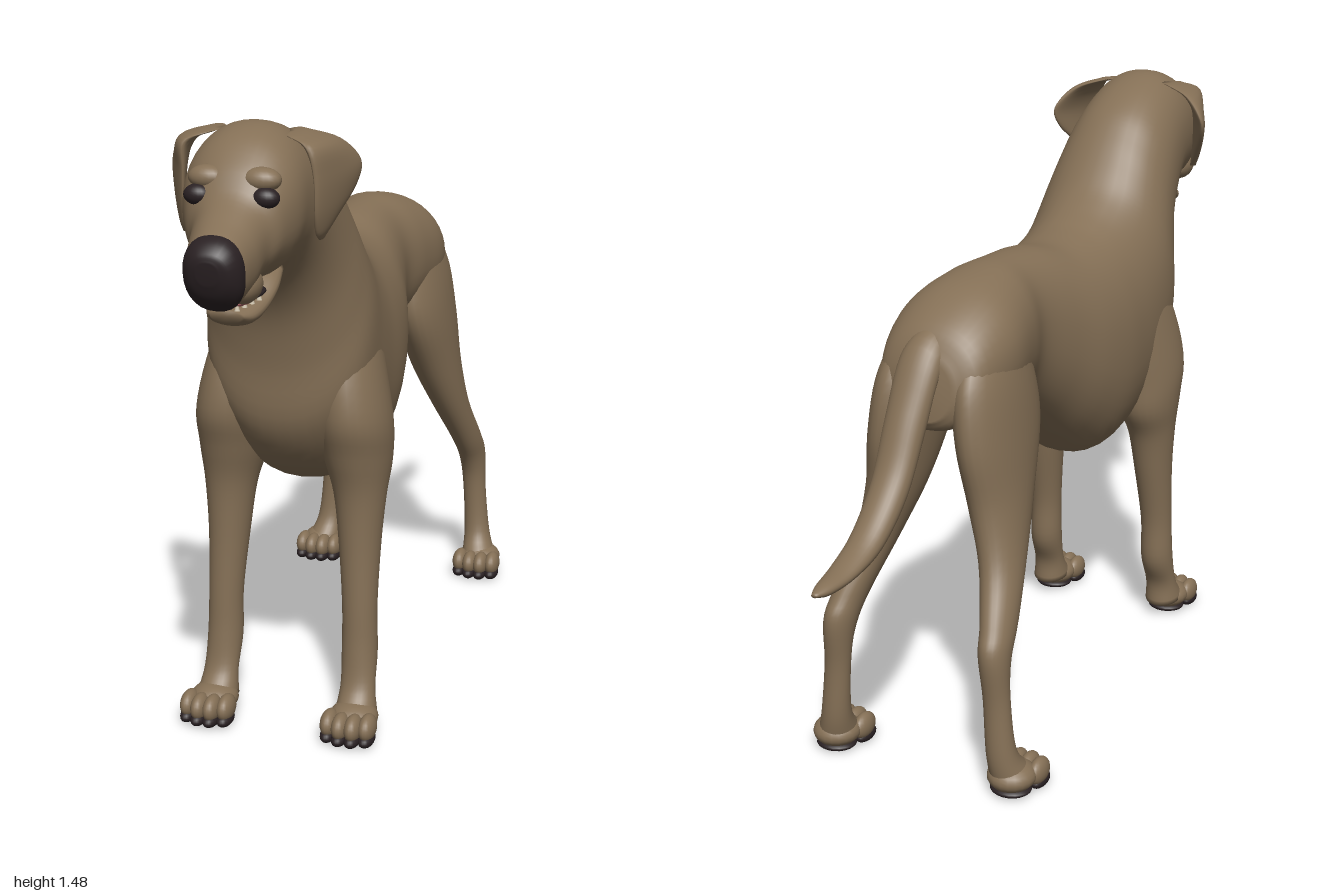
import * as THREE from 'three';

const mat = (name, color) => Object.assign(new THREE.MeshStandardMaterial({ color }), { name });

// Smooth loft. Each section: [zA, yA, zB, yB, halfWidth, centreX, skewX],
// an ellipse whose main axis runs from A to B and whose other axis is x.
function loft(sections, { radial = 28, steps = 5, square = 1 } = {}) {
  const curve = f => new THREE.CatmullRomCurve3(sections.map(f), false, 'catmullrom', 0.5);
  const curveA = curve(([z, y, , , , x = 0, s = 0]) => new THREE.Vector3(x + s, y, z));
  const curveB = curve(([, , z, y, , x = 0, s = 0]) => new THREE.Vector3(x - s, y, z));
  const curveW = curve(s => new THREE.Vector3(s[4], 0, 0));
  const n = (sections.length - 1) * steps;
  const pos = [], index = [];
  const soft = v => Math.sign(v) * Math.abs(v) ** square;
  for (let i = 0; i <= n; i++) {
    const a = curveA.getPoint(i / n), b = curveB.getPoint(i / n), w = curveW.getPoint(i / n).x;
    const mid = a.clone().add(b).multiplyScalar(0.5), half = a.sub(b).multiplyScalar(0.5);
    for (let j = 0; j < radial; j++) {
      const t = (j / radial) * Math.PI * 2;
      const p = mid.clone().addScaledVector(half, soft(Math.cos(t)));
      pos.push(p.x + w * soft(Math.sin(t)), p.y, p.z);
      if (i < n) {
        const k = (j + 1) % radial, r = i * radial, q = r + radial;
        index.push(r + j, q + j, r + k, r + k, q + j, q + k);
      }
    }
  }
  // Close both ends with a fan around the middle
  [0, n].forEach(i => {
    const c = pos.length / 3, r = i * radial, sum = [0, 0, 0];
    for (let j = 0; j < radial; j++) for (let d = 0; d < 3; d++) sum[d] += pos[(r + j) * 3 + d] / radial;
    pos.push(...sum);
    for (let j = 0; j < radial; j++) {
      const k = (j + 1) % radial;
      index.push(c, ...(i ? [r + k, r + j] : [r + j, r + k]));
    }
  });
  const g = new THREE.BufferGeometry();
  g.setAttribute('position', new THREE.Float32BufferAttribute(pos, 3));
  g.setIndex(index);
  g.computeVertexNormals();
  return g;
}

export function createModel() {
  const coat = mat('coat', 0x857056);
  const dark = mat('dark skin', 0x2a2123);
  const pink = mat('tongue pink', 0xb5696b);
  const ivory = mat('tooth ivory', 0xcfc4ae);

  const dog = new THREE.Group();
  dog.name = 'dog';
  const add = (name, geometry, material, parent = dog) => {
    const m = new THREE.Mesh(geometry, material);
    m.name = name;
    parent.add(m);
    return m;
  };
  const ball = (name, material, [x, y, z], [rx, ry, rz], parent) => {
    const m = add(name, new THREE.SphereGeometry(1, 20, 14), material, parent);
    m.position.set(x, y, z);
    m.scale.set(rx, ry, rz);
    return m;
  };

  // Rump, trunk, neck, skull and upper muzzle in one skin
  add('body', loft([
    [-0.565, 1.0, -0.585, 0.86, 0.07],
    [-0.52, 1.07, -0.55, 0.83, 0.13],
    [-0.42, 1.13, -0.42, 0.82, 0.16],
    [-0.3, 1.155, -0.3, 0.82, 0.145],
    [-0.2, 1.157, -0.2, 0.79, 0.125],
    [-0.08, 1.15, -0.08, 0.71, 0.15],
    [0.03, 1.135, 0.03, 0.62, 0.185],
    [0.12, 1.145, 0.14, 0.55, 0.2],
    [0.18, 1.165, 0.28, 0.565, 0.2],
    [0.23, 1.19, 0.4, 0.63, 0.2],
    [0.28, 1.225, 0.49, 0.75, 0.198],
    [0.33, 1.28, 0.51, 0.9, 0.182],
    [0.38, 1.34, 0.54, 1.02, 0.165],
    [0.44, 1.4, 0.59, 1.1, 0.153],
    [0.53, 1.45, 0.65, 1.15, 0.143, 0.003],
    [0.63, 1.475, 0.7, 1.16, 0.137, 0.007],
    [0.72, 1.458, 0.74, 1.16, 0.13, 0.012],
    [0.79, 1.405, 0.79, 1.17, 0.108, 0.018],
    [0.83, 1.352, 0.83, 1.163, 0.084, 0.022],
    [0.89, 1.315, 0.88, 1.142, 0.075, 0.027],
    [0.945, 1.29, 0.935, 1.145, 0.064, 0.032],
    [0.965, 1.275, 0.95, 1.165, 0.05, 0.034],
  ], { radial: 40, square: 0.92 }), coat);

  add('nose', loft([
    [0.938, 1.285, 0.925, 1.15, 0.055, 0.033],
    [0.95, 1.296, 0.938, 1.14, 0.064, 0.034],
    [0.975, 1.287, 0.958, 1.152, 0.06, 0.035],
    [0.995, 1.268, 0.978, 1.175, 0.044, 0.036],
    [1.0, 1.25, 0.992, 1.205, 0.022, 0.036],
  ], { square: 0.85 }), dark);

  // Mouth
  add('lowerJaw', loft([
    [0.67, 1.2, 0.67, 1.14, 0.07, 0.012],
    [0.73, 1.175, 0.72, 1.115, 0.075, 0.015],
    [0.78, 1.145, 0.77, 1.088, 0.066, 0.018],
    [0.83, 1.128, 0.82, 1.08, 0.054, 0.021],
    [0.865, 1.122, 0.855, 1.095, 0.034, 0.023],
  ]), coat);
  ball('mouthLining', dark, [0.02, 1.145, 0.79], [0.06, 0.014, 0.08]);
  ball('tongue', pink, [0.023, 1.137, 0.815], [0.044, 0.013, 0.062]);
  for (const side of [-1, 1]) {
    for (let i = 0; i < 4; i++) {
      const tooth = add('tooth', new THREE.ConeGeometry(0.006, 0.02, 8), ivory);
      tooth.position.set(0.021 + side * (0.026 + i * 0.008), 1.132 + i * 0.003, 0.858 - i * 0.022);
    }
    ball('lip', coat, [0.024 + side * 0.044, 1.178, 0.865], [0.032, 0.036, 0.06]);
    ball('brow', coat, [0.018 + side * 0.058, 1.378, 0.782], [0.042, 0.026, 0.03]);
    ball('eye', dark, [0.018 + side * 0.073, 1.345, 0.803], [0.03, 0.022, 0.023]);
  }

  // Ears: the right one flares, the left one hangs closer
  const ear = [
    [0.66, 1.45, 0.57, 1.455, 0.022, 0.085, 0],
    [0.69, 1.43, 0.53, 1.43, 0.022, 0.145, -0.02],
    [0.69, 1.37, 0.495, 1.38, 0.016, 0.172, -0.045],
    [0.685, 1.3, 0.515, 1.33, 0.014, 0.17, -0.04],
    [0.665, 1.25, 0.57, 1.28, 0.012, 0.157, -0.02],
    [0.64, 1.23, 0.61, 1.235, 0.006, 0.147, 0],
  ];
  const placeEar = (name, sign, shift, flare) => add(name, loft(ear.map(
    ([za, ya, zb, yb, w, x, s]) => [za, ya, zb, yb, w, sign * x + shift, sign * s * flare])), coat);
  placeEar('rightEar', -1, -0.005, 1);
  placeEar('leftEar', 1, 0.005, 0.45);

  add('tail', loft([
    [-0.5, 0.96, -0.48, 1.08, 0.05, 0.005],
    [-0.56, 0.93, -0.57, 1.03, 0.053, 0.012],
    [-0.605, 0.82, -0.645, 0.9, 0.05, 0.018],
    [-0.68, 0.7, -0.71, 0.77, 0.046, 0.02],
    [-0.78, 0.62, -0.8, 0.675, 0.041, 0.022],
    [-0.88, 0.595, -0.89, 0.632, 0.034, 0.022],
    [-0.96, 0.59, -0.965, 0.618, 0.022, 0.022],
    [-1.0, 0.6, -1.0, 0.609, 0.007, 0.022],
  ]), coat);

  // Legs
  const foreleg = [
    [0.36, 1.06, 0.2, 1.0, 0.045, 0.118],
    [0.45, 0.92, 0.22, 0.86, 0.073, 0.133],
    [0.48, 0.78, 0.24, 0.73, 0.086, 0.148],
    [0.455, 0.68, 0.25, 0.64, 0.08, 0.153],
    [0.43, 0.58, 0.29, 0.56, 0.062, 0.16],
    [0.425, 0.45, 0.315, 0.45, 0.05, 0.163],
    [0.43, 0.3, 0.345, 0.3, 0.042, 0.168],
    [0.435, 0.2, 0.35, 0.18, 0.043, 0.17],
    [0.45, 0.11, 0.385, 0.1, 0.042, 0.173],
    [0.49, 0.06, 0.385, 0.035, 0.05, 0.175],
  ];
  const hindLeg = [
    [-0.3, 1.03, -0.52, 1.02, 0.05, 0.09],
    [-0.265, 0.9, -0.575, 0.93, 0.07, 0.1],
    [-0.275, 0.8, -0.59, 0.8, 0.072, 0.115],
    [-0.35, 0.67, -0.57, 0.66, 0.065, 0.135],
    [-0.435, 0.54, -0.585, 0.53, 0.05, 0.165],
    [-0.53, 0.41, -0.645, 0.42, 0.04, 0.195],
    [-0.585, 0.33, -0.675, 0.36, 0.036, 0.205],
    [-0.605, 0.25, -0.665, 0.24, 0.032, 0.212],
    [-0.6, 0.12, -0.668, 0.11, 0.036, 0.222],
    [-0.56, 0.06, -0.66, 0.035, 0.048, 0.235],
  ];
  // Paw with four toes and dark soles; z is the middle of the foot
  const addPaw = (name, x, z) => {
    const paw = new THREE.Group();
    paw.name = name;
    paw.position.set(x, 0, z);
    dog.add(paw);
    ball('instep', coat, [0, 0.045, -0.02], [0.058, 0.036, 0.06], paw);
    ball('heelPad', dark, [0, 0.014, -0.025], [0.05, 0.014, 0.045], paw);
    for (let i = 0; i < 4; i++) {
      const off = i - 1.5, mid = Math.abs(off) < 1 ? 0.012 : 0;
      ball('toe', coat, [off * 0.031, 0.043, 0.026 + mid], [0.021, 0.032, 0.04], paw);
      ball('toePad', dark, [off * 0.031, 0.017, 0.032 + mid], [0.019, 0.017, 0.037], paw);
    }
  };
  for (const [label, side] of [['left', 1], ['right', -1]]) {
    const onSide = s => s.map((v, i) => (i === 5 ? v * side : v));
    add(label + 'Foreleg', loft(foreleg.map(onSide)), coat);
    add(label + 'HindLeg', loft(hindLeg.map(onSide)), coat);
    addPaw(label + 'ForePaw', side * 0.176, 0.48);
    addPaw(label + 'HindPaw', side * 0.237, -0.59);
  }

  // Belly fold
  ball('sheath', coat, [0, 0.765, -0.155], [0.028, 0.042, 0.05]);
  ball('sheathTip', dark, [0, 0.79, -0.185], [0.03, 0.015, 0.022]);

  return dog;
}
